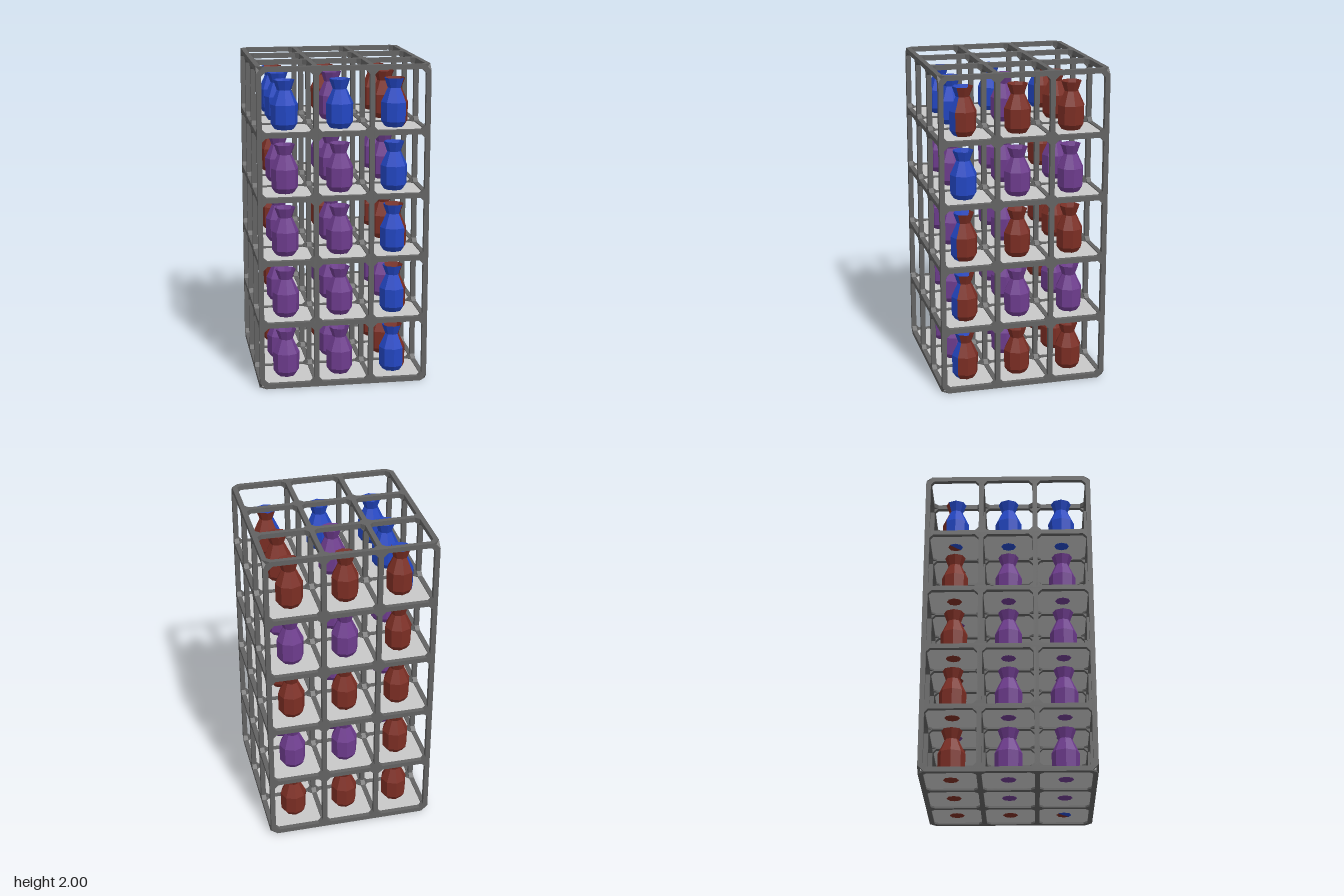
import * as THREE from 'three';

const BAR = 0.03, PX = 0.34, PY = 0.394, W = 1.05, H = 2;

const paint = (name, color, side = THREE.FrontSide) => {
  const m = new THREE.MeshStandardMaterial({ color, side });
  m.name = name;
  return m;
};

// Rectangle with cut corners
function cutRect(target, x0, y0, x1, y1, c) {
  const p = [[x0 + c, y0], [x1 - c, y0], [x1, y0 + c], [x1, y1 - c],
    [x1 - c, y1], [x0 + c, y1], [x0, y1 - c], [x0, y0 + c]];
  target.setFromPoints(p.map(([x, y]) => new THREE.Vector2(x, y)));
  return target;
}

// One flat lattice of bars: 3 columns by a number of rows, starting at v = v0
function lattice(rows, pitch, v0) {
  const height = rows * pitch + BAR;
  const shape = cutRect(new THREE.Shape(), -W / 2, v0, W / 2, v0 + height, 0.04);
  for (let i = 0; i < 3; i++) {
    for (let j = 0; j < rows; j++) {
      const x = -W / 2 + i * PX, y = v0 + j * pitch;
      shape.holes.push(cutRect(new THREE.Path(), x + BAR, y + BAR, x + PX, y + pitch, 0.024));
    }
  }
  return new THREE.ExtrudeGeometry(shape, { depth: BAR, bevelEnabled: false });
}

// Eight-sided open vase, or a part of its turn, with flat facets
function vaseGeometry(segments, start) {
  const profile = [[0, 0.009], [0.045, 0.009], [0.063, 0.03], [0.082, 0.058],
    [0.084, 0.175], [0.043, 0.262], [0.065, 0.323]].map(([r, y]) => new THREE.Vector2(r, y));
  const g = new THREE.LatheGeometry(profile, segments, start, segments * Math.PI / 4).toNonIndexed();
  g.computeVertexNormals();
  return g;
}

export function createModel() {
  const model = new THREE.Group();
  model.name = 'vaseRack';
  const frameGrey = paint('frameGrey', 0x626262);
  const shelfGrey = paint('shelfGrey', 0xc8c8c8);
  const colours = {
    B: paint('blue', 0x2347c4, THREE.DoubleSide),
    P: paint('purple', 0x6e3c8e, THREE.DoubleSide),
    R: paint('red', 0x7c2e24, THREE.DoubleSide),
  };
  const add = (parent, name, geometry, material, x, y, z) => {
    const m = new THREE.Mesh(geometry, material);
    m.name = name;
    m.position.set(x, y, z);
    parent.add(m);
    return m;
  };

  // Frame lattices in three directions
  const frame = new THREE.Group();
  frame.name = 'frame';
  model.add(frame);
  const upright = lattice(5, PY, 0);
  const sideways = upright.clone().rotateY(Math.PI / 2);
  const level = lattice(3, PX, -W / 2).rotateX(-Math.PI / 2);
  for (let i = 0; i < 4; i++) {
    const at = -W / 2 + i * PX;
    add(frame, 'uprightLattice', upright, frameGrey, 0, 0, at);
    add(frame, 'sideLattice', sideways, frameGrey, at, 0, 0);
  }
  for (let j = 0; j < 6; j++) add(frame, 'levelLattice', level, frameGrey, 0, j * PY, 0);

  // Shelves inside the bar thickness
  const shelf = new THREE.BoxGeometry(W - 0.03, 0.012, W - 0.03);
  for (let j = 0; j < 5; j++) add(model, 'shelf', shelf, shelfGrey, 0, j * PY + 0.018, 0);

  // Vases: layers from the bottom up, rows from back to front; X is half blue, half red
  const odd = ['RRR', 'PPR', 'PPX'];
  const layers = [odd, ['RPP', 'PPP', 'PPX'], odd, ['RPP', 'PPP', 'PPB'], ['XRR', 'BPR', 'BBX']];
  const whole = vaseGeometry(8, 0);
  const rightHalf = vaseGeometry(4, Math.PI / 4);
  const leftHalf = vaseGeometry(4, 5 * Math.PI / 4);
  layers.forEach((rows, j) => rows.forEach((row, k) => [...row].forEach((c, i) => {
    const p = [(i - 1) * PX, j * PY, (k - 1) * PX];
    if (c === 'X') {
      add(model, 'vaseBlueHalf', leftHalf, colours.B, ...p);
      add(model, 'vaseRedHalf', rightHalf, colours.R, ...p);
    } else add(model, 'vase', whole, colours[c], ...p);
  })));
  return model;
}
